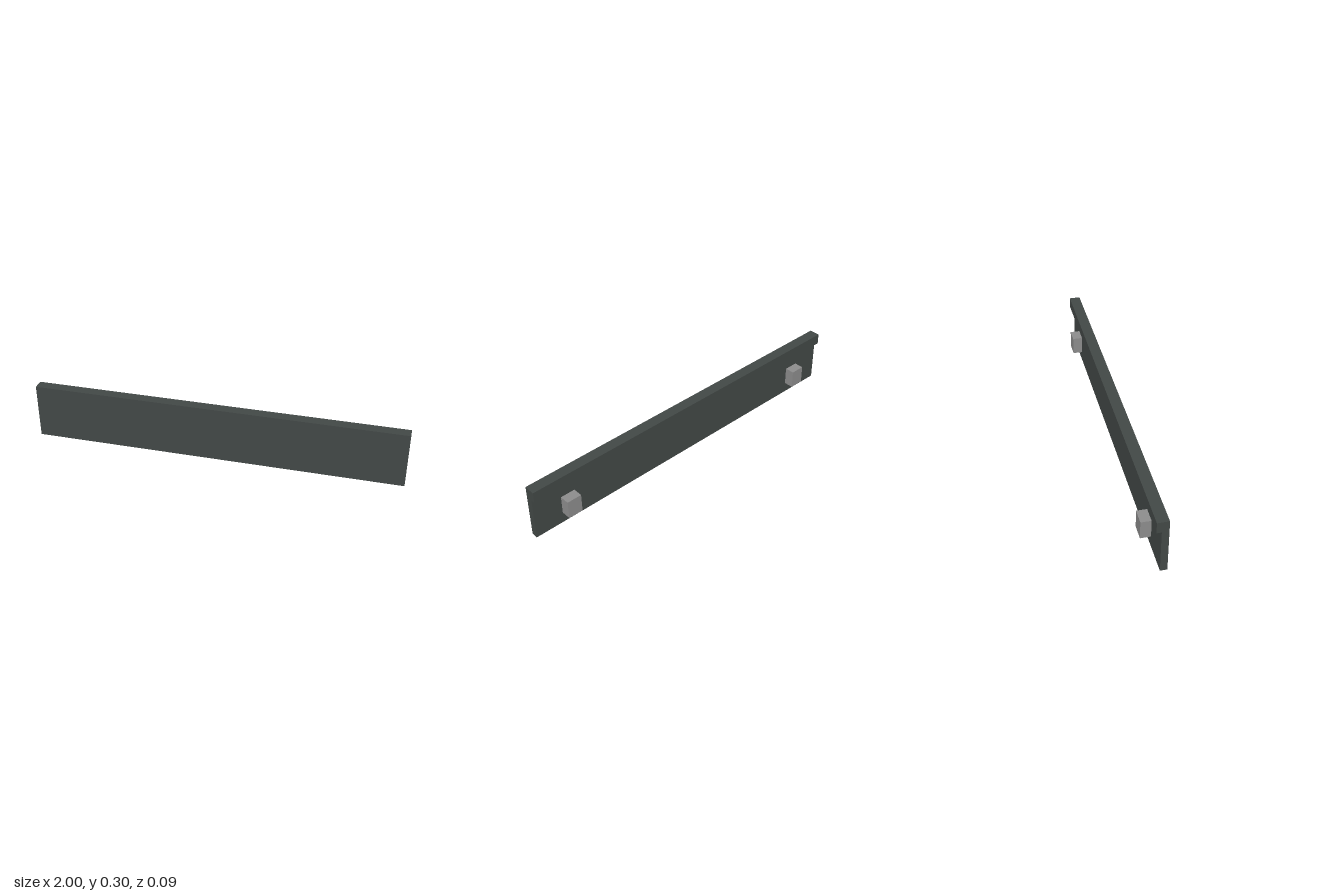
import * as THREE from 'three';

export function createModel() {
  const model = new THREE.Group();
  model.name = 'railPanel';

  const darkGrey = new THREE.MeshStandardMaterial({ color: 0x424846 });
  darkGrey.name = 'darkGrey';
  const midGrey = new THREE.MeshStandardMaterial({ color: 0x8c8c8c });
  midGrey.name = 'midGrey';

  const length = 2, front = 0.044, back = 0.009, lipBack = -0.015, blockBack = -0.044;

  // Board with a lip along the top of its back: one profile (-z, y) run along x
  const profile = new THREE.Shape([
    [-front, 0], [-back, 0], [-back, 0.24], [-lipBack, 0.24], [-lipBack, 0.3], [-front, 0.3],
  ].map(([x, y]) => new THREE.Vector2(x, y)));
  const boardGeometry = new THREE.ExtrudeGeometry(profile, { depth: length, bevelEnabled: false });
  boardGeometry.translate(0, 0, -length / 2).rotateY(Math.PI / 2);
  const board = new THREE.Mesh(boardGeometry, darkGrey);
  board.name = 'lippedBoard';
  model.add(board);

  // Mounting blocks on the back, one near each end
  const depth = back - blockBack;
  const blockGeometry = new THREE.BoxGeometry(0.08, 0.1, depth);
  for (const side of [1, -1]) {
    const block = new THREE.Mesh(blockGeometry, midGrey);
    block.name = side > 0 ? 'leftMountingBlock' : 'rightMountingBlock';
    block.position.set(side * 0.8, 0.11, blockBack + depth / 2);
    model.add(block);
  }

  return model;
}
